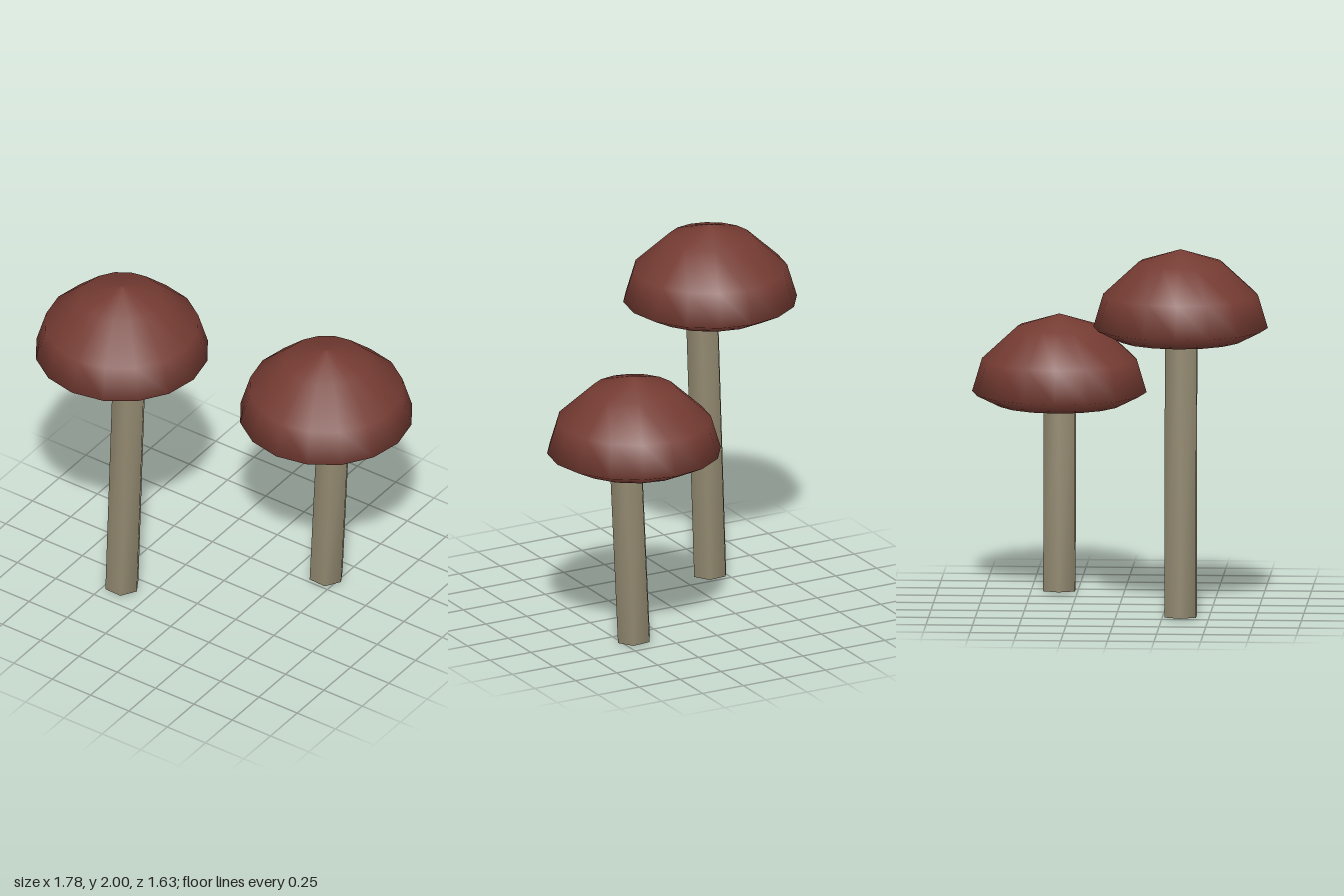
import * as THREE from 'three';
import { mergeVertices } from 'three/addons/utils/BufferGeometryUtils.js';

// Hexagonal stem with normals shared across the ends for soft shading
function stemGeometry(length) {
  const g = new THREE.CylinderGeometry(0.0975, 0.0975, length, 6, 1);
  g.rotateY(Math.PI / 6);
  g.translate(0, length / 2, 0);
  g.deleteAttribute('normal');
  g.deleteAttribute('uv');
  const merged = mergeVertices(g, 1e-4);
  merged.computeVertexNormals();
  return merged;
}

// Domed cap with a hollow underside, measured from its lower rim
function capGeometry() {
  const profile = [
    [0, 0.13], [0.19, 0.08], [0.335, 0], [0.468, 0.067],
    [0.415, 0.245], [0.225, 0.42], [0, 0.49],
  ].map(([r, y]) => new THREE.Vector2(r, y));
  return new THREE.LatheGeometry(profile, 16);
}

export function createModel() {
  const capRed = new THREE.MeshStandardMaterial({ color: 0x743b32 });
  capRed.name = 'capRed';
  const stemTan = new THREE.MeshStandardMaterial({ color: 0x928970 });
  stemTan.name = 'stemTan';

  const model = new THREE.Group();
  model.name = 'mushrooms';

  function addMushroom(name, x, z, rimHeight, lean) {
    const mushroom = new THREE.Group();
    mushroom.name = name;
    mushroom.position.set(x, 0, z);

    const stem = new THREE.Mesh(stemGeometry(rimHeight + 0.2), stemTan);
    stem.name = 'stem';
    stem.position.y = 0.008;
    stem.rotation.z = -lean;

    const cap = new THREE.Mesh(capGeometry(), capRed);
    cap.name = 'cap';
    cap.position.y = rimHeight;

    mushroom.add(stem, cap);
    model.add(mushroom);
  }

  addMushroom('tallMushroom', -0.424, 0.348, 1.51, 0.033);
  addMushroom('shortMushroom', 0.424, -0.348, 1.02, 0.048);
  return model;
}
